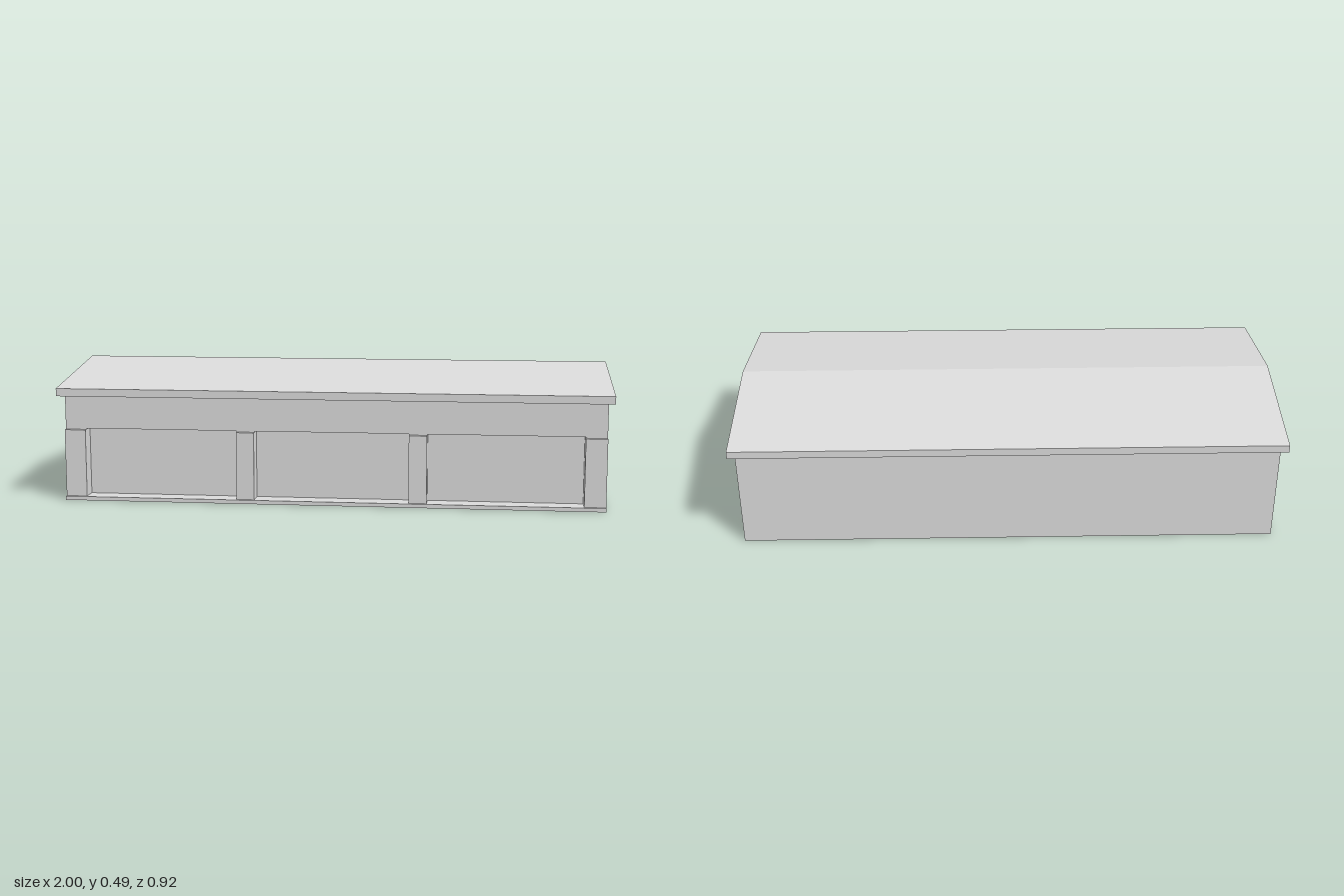
import * as THREE from 'three';

export function createModel() {
  const group = new THREE.Group();
  group.name = 'longShed';
  const grey = new THREE.MeshStandardMaterial({ color: 0xdadada });
  grey.name = 'plainGrey';

  // box given by its min and max corners
  function block(name, x0, x1, y0, y1, z0, z1) {
    const mesh = new THREE.Mesh(new THREE.BoxGeometry(x1 - x0, y1 - y0, z1 - z0), grey);
    mesh.position.set((x0 + x1) / 2, (y0 + y1) / 2, (z0 + z1) / 2);
    mesh.name = name;
    group.add(mesh);
  }

  const W = 0.98, D = 0.42, T = 0.018;
  const inner = 0.376;                   // inside face of the front wall
  const wallTop = 0.393, sillTop = 0.014, doorTop = 0.264, pillarTop = 0.26;

  // four walls, open underneath and up to the roof
  block('backWall', -W, W, 0, wallTop, -D, -D + T);
  block('rightWall', -W, -W + T, 0, wallTop, -D + T, inner);
  block('leftWall', W - T, W, 0, wallTop, -D + T, inner);
  block('frontLintel', -W, W, doorTop, wallTop, inner, D);
  block('frontSill', -W, W, 0, sillTop, inner, 0.445);

  // pillars: slightly proud of the lintel, with a filler up to it
  for (const [x0, x1] of [[-W, -0.903], [-0.345, -0.28], [0.28, 0.345], [0.903, W]]) {
    block('frontPillar', x0, x1, sillTop, pillarTop, inner, 0.435);
    block('pillarHead', x0, x1, pillarTop, doorTop, inner, D);
  }

  // door panels fixed behind the openings, overlapping their edges
  for (const [x0, x1] of [[-0.903, -0.345], [-0.28, 0.28], [0.345, 0.903]]) {
    block('doorPanel', x0 - 0.01, x1 + 0.01, 0, doorTop + 0.03, inner - 0.01, inner);
  }

  // gabled roof slab, extruded along x
  const profile = new THREE.Shape([
    [-0.462, 0.387], [0, 0.454], [0.462, 0.387], [0.462, 0.415], [0, 0.486], [-0.462, 0.415],
  ].map(([z, y]) => new THREE.Vector2(z, y)));
  const roofGeometry = new THREE.ExtrudeGeometry(profile, { depth: 2, bevelEnabled: false });
  roofGeometry.translate(0, 0, -1).rotateY(Math.PI / 2);
  const roof = new THREE.Mesh(roofGeometry, grey);
  roof.name = 'gableRoof';
  group.add(roof);

  return group;
}
